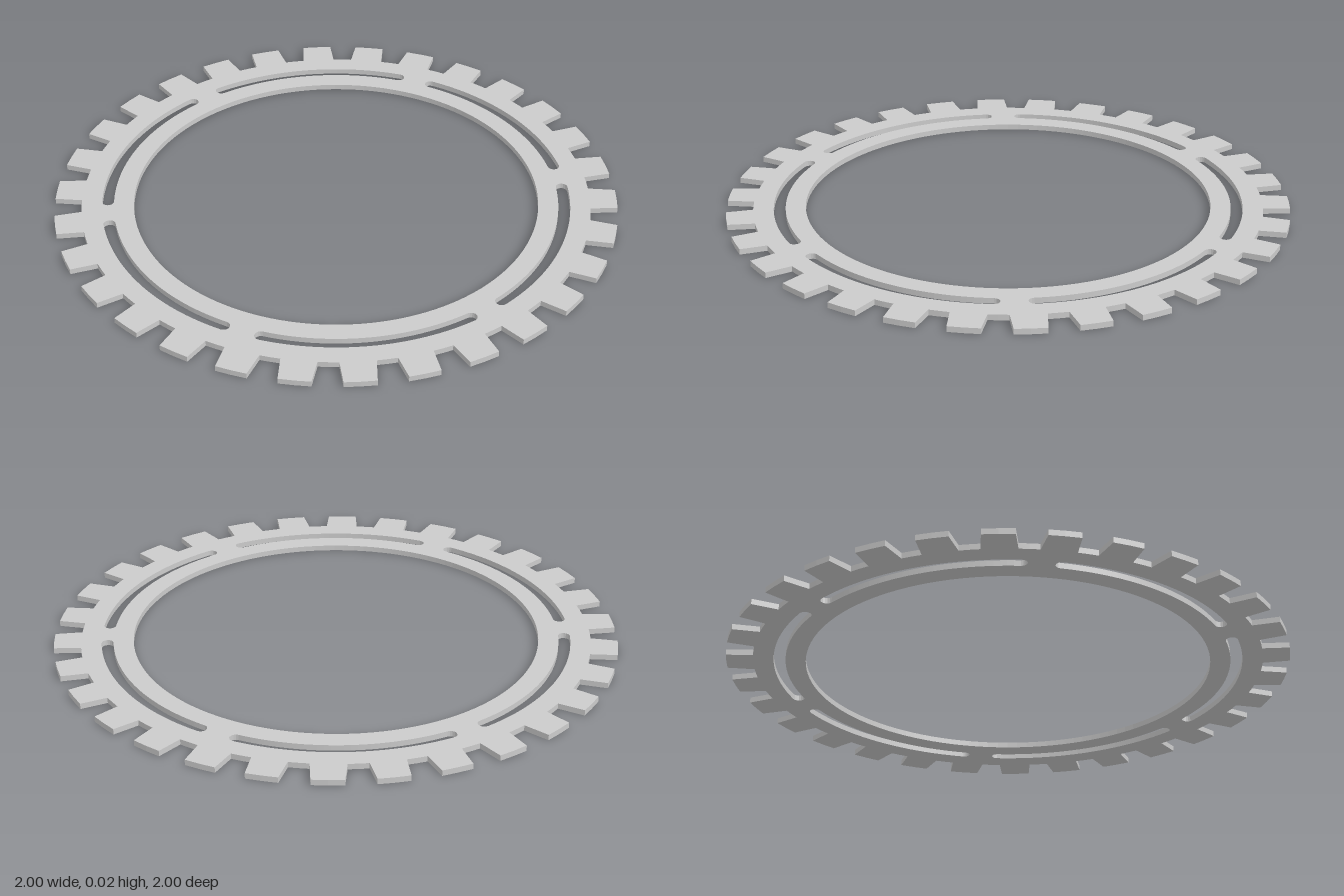
import * as THREE from 'three';

const TEETH = 30, SLOTS = 6, THICKNESS = 0.02;

// Point at a radius and a clockwise angle in degrees from the back (-z)
const polar = (r, deg) => {
  const a = THREE.MathUtils.degToRad(deg);
  return new THREE.Vector2(r * Math.sin(a), r * Math.cos(a));
};

// Points along an arc
const arc = (r, from, to, steps) =>
  Array.from({ length: steps + 1 }, (_, i) => polar(r, from + ((to - from) * i) / steps));

// Outer outline, counter-clockwise: tapered teeth with arcs between them
function toothedOutline() {
  const pts = [];
  for (let i = 0; i < TEETH; i++) {
    const mid = 1.9 + (i * 360) / TEETH;
    pts.push(polar(0.905, mid - 3.8), ...arc(1, mid - 3.1, mid + 3.1, 2), ...arc(0.905, mid + 3.8, mid + 6, 1));
  }
  return pts.reverse();
}

// Curved slot with round ends
function slotOutline(from, to, r = 0.812, half = 0.021) {
  const cap = (deg, sign) => {
    const c = polar(r, deg);
    return Array.from({ length: 7 }, (_, i) => {
      const turn = deg + sign * 90 - 90 + ((i + 1) * 180) / 8;
      return polar(half, turn).add(c);
    });
  };
  return [
    ...arc(r + half, from, to, 32), ...cap(to, 1),
    ...arc(r - half, to, from, 32), ...cap(from, -1),
  ];
}

export function createModel() {
  const shape = new THREE.Shape(toothedOutline());

  // Central opening
  shape.holes.push(new THREE.Path(arc(0.72, 0, 360, 120).slice(0, -1)));

  // Ring of slots
  for (let i = 0; i < SLOTS; i++) {
    shape.holes.push(new THREE.Path(slotOutline(9.2 + i * 60, 59.9 + i * 60)));
  }

  const geometry = new THREE.ExtrudeGeometry(shape, { depth: THICKNESS, bevelEnabled: false });
  geometry.rotateX(-Math.PI / 2);

  const ring = new THREE.Mesh(geometry, new THREE.MeshStandardMaterial({ color: 0xcccccc }));
  ring.name = 'toothedRing';

  const model = new THREE.Group();
  model.name = 'slottedGearRing';
  model.add(ring);
  return model;
}
